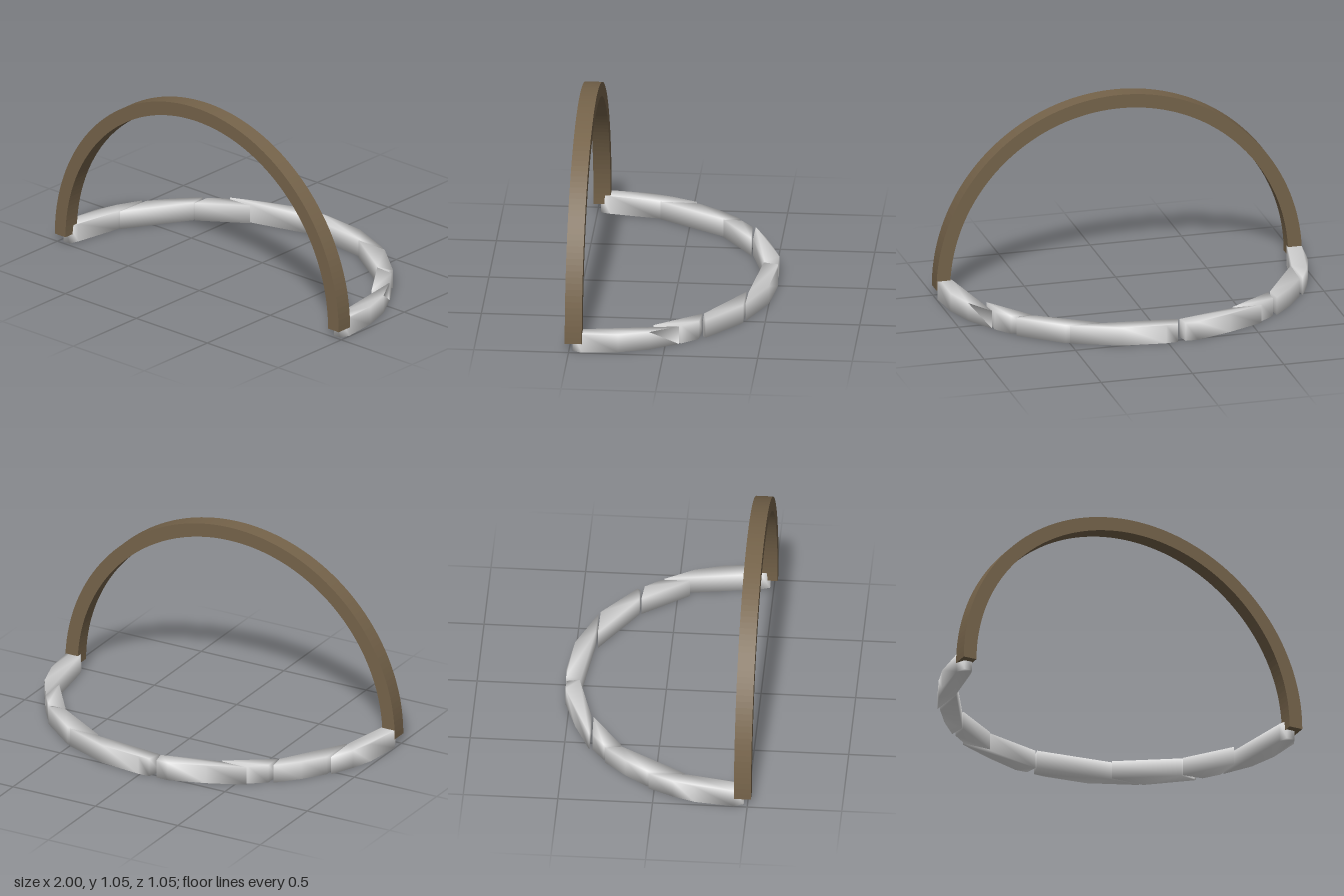
import * as THREE from 'three';
import { mergeVertices } from 'three/addons/utils/BufferGeometryUtils.js';

const wood = new THREE.MeshStandardMaterial({ name: 'brown wood', color: 0x75634a });
const stone = new THREE.MeshStandardMaterial({ name: 'pale stone', color: 0xdcdcdc });

// Plan outlines of the kerb stones as [x, z] corners, from the model's right to its left
const stonePlans = [
  [[-0.975, 0.48], [-0.998, 0.43], [-0.975, 0.22], [-0.935, 0.1], [-0.875, -0.03], [-0.87, 0.17], [-0.915, 0.43], [-0.93, 0.48]],
  [[-0.862, 0.16], [-0.855, -0.04], [-0.77, -0.16], [-0.665, -0.275], [-0.652, -0.185]],
  [[-0.642, -0.19], [-0.64, -0.285], [-0.555, -0.35], [-0.4, -0.355]],
  [[-0.4, -0.365], [-0.555, -0.367], [-0.36, -0.455], [-0.165, -0.522], [-0.098, -0.52], [-0.082, -0.452]],
  [[-0.075, -0.447], [-0.055, -0.525], [0.01, -0.528], [0.245, -0.5], [0.5, -0.395], [0.335, -0.4]],
  [[0.335, -0.387], [0.52, -0.385], [0.74, -0.205], [0.72, -0.19], [0.645, -0.19]],
  [[0.65, -0.18], [0.76, -0.17], [0.825, -0.085], [0.828, 0.065]],
  [[0.835, -0.07], [0.925, 0.08], [0.975, 0.24], [0.995, 0.43], [0.975, 0.48], [0.93, 0.48], [0.912, 0.43]],
];

// Upright half-ring
function makeArch() {
  const shape = new THREE.Shape();
  shape.absarc(0, 0, 1, 0, Math.PI, false);
  shape.absarc(0, 0, 0.925, Math.PI, 0, true);
  shape.closePath();
  const geometry = new THREE.ExtrudeGeometry(shape, { depth: 0.09, bevelEnabled: false, curveSegments: 48 });
  const mesh = new THREE.Mesh(geometry, wood);
  mesh.name = 'arch';
  mesh.position.set(0, 0.05, 0.43);
  return mesh;
}

// Soft-shaded block raised from its plan outline
function makeStone(plan) {
  const shape = new THREE.Shape(plan.map(([x, z]) => new THREE.Vector2(x, -z)));
  let geometry = new THREE.ExtrudeGeometry(shape, { depth: 0.1, bevelEnabled: false });
  geometry.rotateX(-Math.PI / 2);
  geometry.deleteAttribute('normal');
  geometry.deleteAttribute('uv');
  geometry = mergeVertices(geometry);
  geometry.computeVertexNormals();
  return new THREE.Mesh(geometry, stone);
}

export function createModel() {
  const model = new THREE.Group();
  model.name = 'archWithStoneKerb';
  model.add(makeArch());

  // Curved row of stones behind the arch
  const kerb = new THREE.Group();
  kerb.name = 'stoneKerb';
  stonePlans.forEach((plan, i) => {
    const mesh = makeStone(plan);
    mesh.name = `kerbStone${i + 1}`;
    kerb.add(mesh);
  });
  model.add(kerb);
  return model;
}
